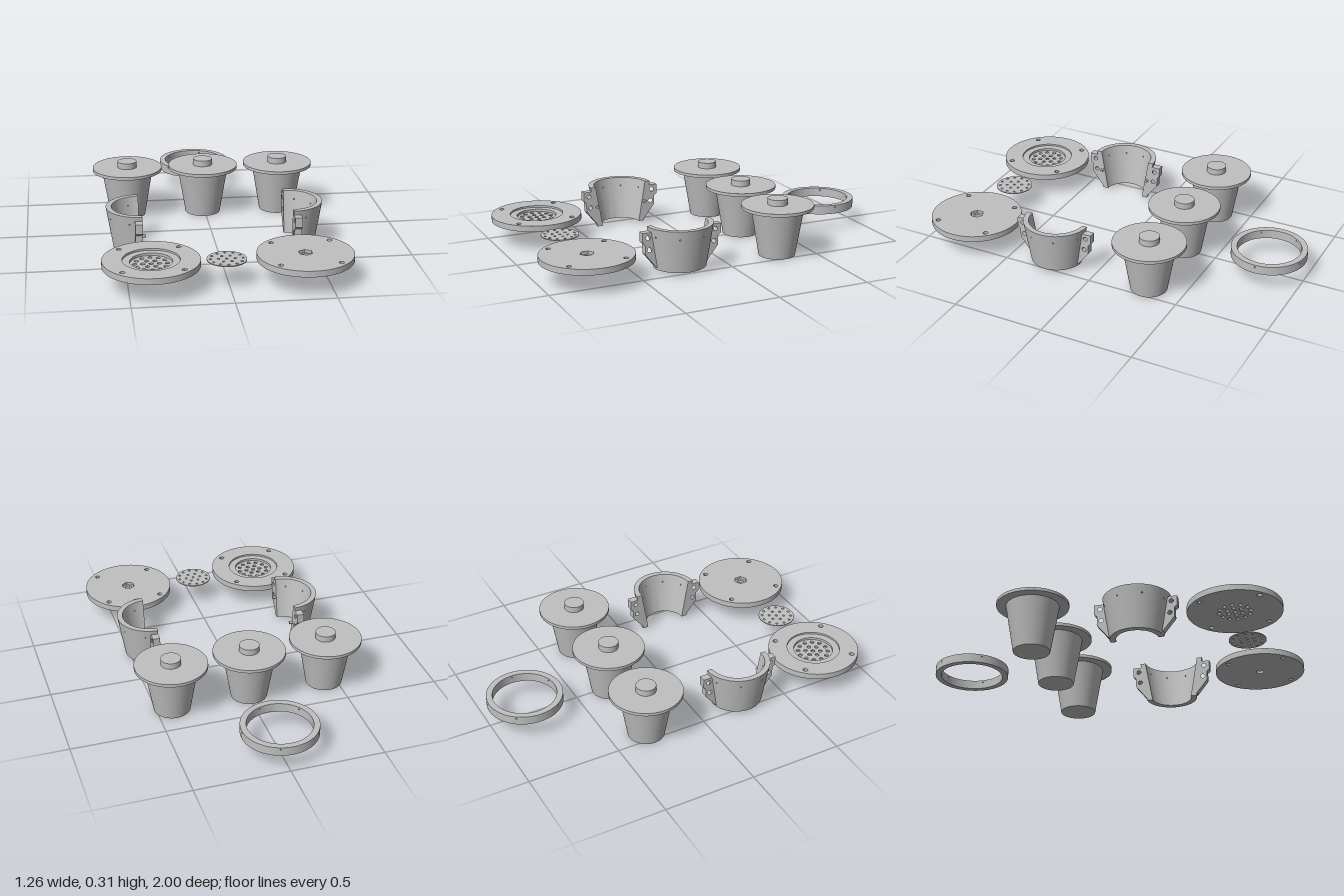
import * as THREE from 'three';
import { mergeGeometries, toCreasedNormals } from 'three/addons/utils/BufferGeometryUtils.js';

const grey = new THREE.MeshStandardMaterial({ color: 0xc0c0c0 });
grey.name = 'light grey';

function mesh(name, geometry, x = 0, y = 0, z = 0) {
  const m = new THREE.Mesh(geometry, grey);
  m.name = name;
  m.position.set(x, y, z);
  return m;
}

function group(name, x, z, ...children) {
  const g = new THREE.Group();
  g.name = name;
  g.position.set(x, 0, z);
  g.add(...children);
  return g;
}

const circle = (x, y, r) => new THREE.Path().absarc(x, y, r, 0, Math.PI * 2, true);

// Horizontal disc between two heights, with holes through it
function disc(r, y0, y1, holes, segments = 40) {
  const shape = new THREE.Shape().absarc(0, 0, r, 0, Math.PI * 2, false);
  shape.holes.push(...holes);
  const geo = new THREE.ExtrudeGeometry(shape, { depth: y1 - y0, bevelEnabled: false, curveSegments: segments });
  geo.rotateX(-Math.PI / 2).translate(0, y0, 0);
  return toCreasedNormals(geo, 0.6);
}

// Centre hole with rings of 6 and 12 around it
function sieveHoles(r) {
  const holes = [circle(0, 0, r)];
  for (const [count, radius] of [[6, 0.041], [12, 0.081]]) {
    for (let i = 0; i < count; i++) {
      const a = (i / count) * Math.PI * 2;
      holes.push(circle(radius * Math.cos(a), radius * Math.sin(a), r));
    }
  }
  return holes;
}

const boltHoles = () => [[1, 1], [1, -1], [-1, 1], [-1, -1]].map(([a, b]) => circle(a * 0.15, b * 0.15, 0.013));

// Curved wall made of bent cells; some cells carry a small radial hole
function curvedWall({ start, step, cells, y0, y1, inner, outer, holeCells, holeY, holeR }) {
  const parts = [];
  for (let i = 0; i < cells; i++) {
    const a = start + i * step, b = a + step;
    const shape = new THREE.Shape();
    shape.moveTo(a, y0).lineTo(b, y0).lineTo(b, y1).lineTo(a, y1).lineTo(a, y0);
    if (holeCells.includes(i)) {
      shape.holes.push(new THREE.Path().absellipse((a + b) / 2, holeY, holeR / outer(holeY), holeR, 0, Math.PI * 2, true));
    }
    const geo = new THREE.ExtrudeGeometry(shape, { depth: 1, bevelEnabled: false, curveSegments: 6 });
    const p = geo.attributes.position;
    for (let k = 0; k < p.count; k++) {
      const u = p.getX(k), y = p.getY(k);
      const r = inner(y) + (outer(y) - inner(y)) * p.getZ(k);
      p.setXYZ(k, r * Math.sin(u), y, r * Math.cos(u));
    }
    geo.computeVertexNormals();
    parts.push(geo);
  }
  return toCreasedNormals(mergeGeometries(parts), 0.5);
}

// Tapered plug with a flange and a round knob
function plug(x) {
  return group('plug', x, -0.307,
    mesh('plugBody', new THREE.CylinderGeometry(0.141, 0.097, 0.26, 64), 0, 0.13, 0),
    mesh('plugFlange', new THREE.CylinderGeometry(0.192, 0.192, 0.017, 72), 0, 0.2685, 0),
    mesh('plugKnob', new THREE.CylinderGeometry(0.053, 0.053, 0.033, 40), 0, 0.2935, 0));
}

// Side ear of a half shell, with two bolt holes
function ear(side) {
  const shape = new THREE.Shape();
  [[0.162, 0.22], [0.13, 0.03], [0.145, 0.03], [0.205, 0.105], [0.205, 0.155], [0.22, 0.168], [0.22, 0.22]]
    .forEach(([d, y], i) => (i ? shape.lineTo(d * side, y) : shape.moveTo(d * side, y)));
  shape.holes.push(circle(0.189 * side, 0.193, 0.012), circle(0.181 * side, 0.128, 0.012));
  const geo = new THREE.ExtrudeGeometry(shape, { depth: 0.039, bevelEnabled: false, curveSegments: 10 });
  geo.rotateY(Math.PI / 2);
  return mesh('shellEar', toCreasedNormals(geo, 0.6));
}

// Half of a tapered clamp shell, bulging towards +x
function halfShell(name, x) {
  const t = (y) => (y - 0.015) / 0.229;
  const wall = curvedWall({
    start: 0, step: Math.PI / 36, cells: 36, y0: 0.015, y1: 0.244,
    inner: (y) => 0.11 + 0.04 * t(y),
    outer: (y) => 0.142 + 0.037 * t(y),
    holeCells: [4, 13, 22, 31], holeY: 0.198, holeR: 0.004,
  });
  return group(name, x, 0.25, mesh('shellWall', wall), ear(1), ear(-1));
}

export function createModel() {
  const model = new THREE.Group();
  model.name = 'mouldKit';

  // Row of plugs
  for (const x of [-0.435, -0.01, 0.414]) model.add(plug(x));

  // Retaining ring with five radial holes
  const step = (Math.PI * 2) / 75;
  model.add(group('ring', -0.01, -0.8, mesh('ringWall', curvedWall({
    start: Math.PI / 2 - step / 2, step, cells: 75, y0: 0.1, y1: 0.148,
    inner: () => 0.169, outer: () => 0.201,
    holeCells: [0, 15, 30, 45, 60], holeY: 0.136, holeR: 0.004,
  }))));

  // Pair of half shells, the right one with locating pins
  const right = halfShell('rightHalfShell', -0.402);
  right.rotation.y = Math.PI;
  for (const s of [1, -1]) {
    const pin = mesh('locatingPin', new THREE.CylinderGeometry(0.008, 0.008, 0.03, 16), -0.004, 0.13, s * 0.143);
    pin.rotation.z = Math.PI / 2;
    right.add(pin);
  }
  model.add(right, halfShell('leftHalfShell', 0.383));

  // Base plate with a stepped recess and drain holes
  model.add(group('drainPlate', -0.384, 0.755,
    mesh('drainFloor', disc(0.244, 0.114, 0.123, [...sieveHoles(0.011), ...boltHoles()])),
    mesh('drainStep', disc(0.244, 0.123, 0.136, [circle(0, 0, 0.106), ...boltHoles()])),
    mesh('drainRim', disc(0.244, 0.136, 0.146, [circle(0, 0, 0.143), ...boltHoles()]))));

  // Cover plate with a hexagonal nut pocket
  const hex = new THREE.Path();
  for (let i = 0; i <= 6; i++) {
    const a = Math.PI / 2 - (i * Math.PI) / 3;
    hex[i ? 'lineTo' : 'moveTo'](0.037 * Math.cos(a), 0.037 * Math.sin(a));
  }
  model.add(group('coverPlate', 0.384, 0.755,
    mesh('coverFloor', disc(0.244, 0.114, 0.13, [circle(0, 0, 0.021), ...boltHoles()])),
    mesh('coverTop', disc(0.244, 0.13, 0.146, [hex, ...boltHoles()]))));

  // Thin loose sieve
  model.add(group('sieve', -0.01, 0.755, mesh('sieveDisc', disc(0.1, 0.127, 0.132, sieveHoles(0.007), 24))));

  return model;
}
